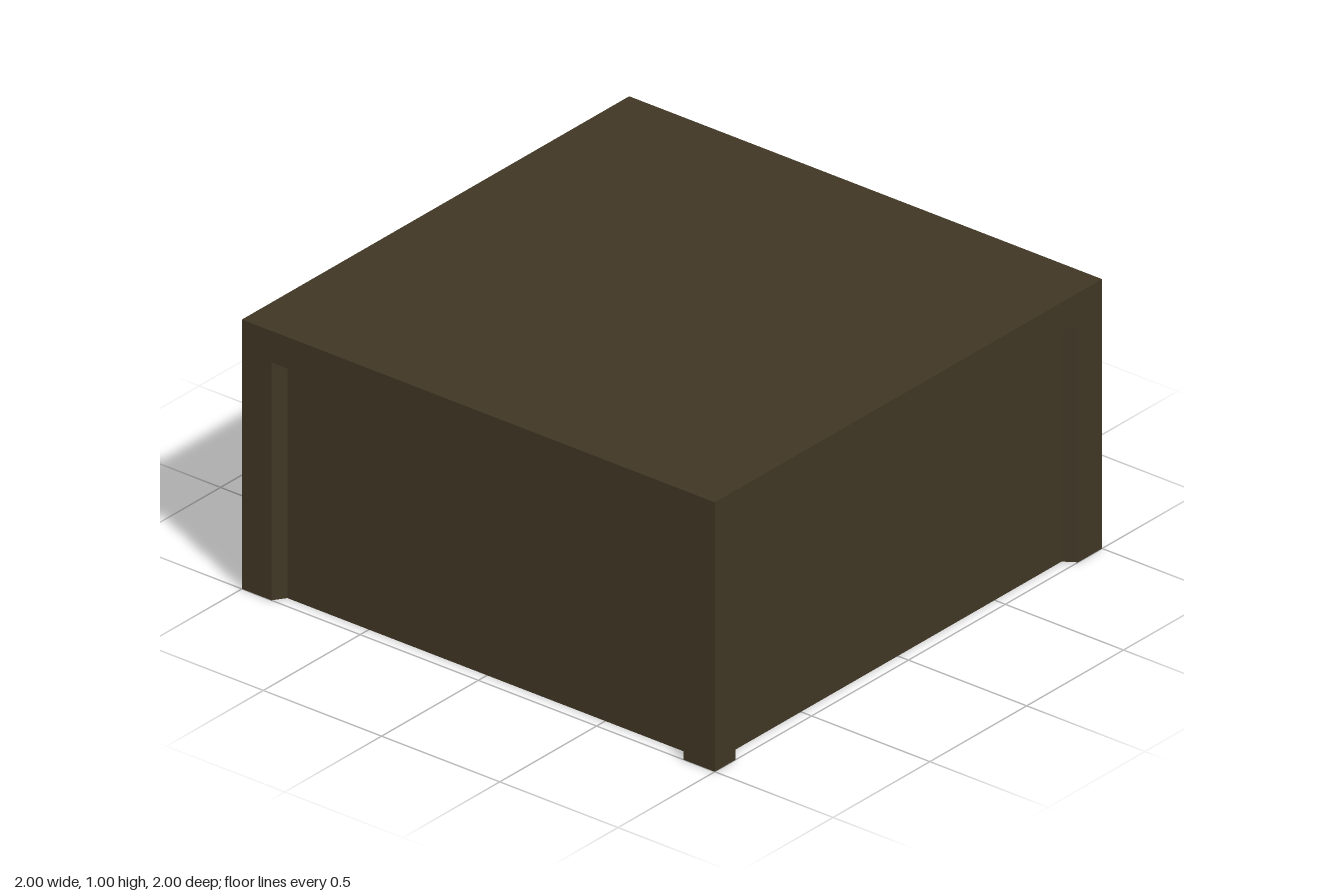
import * as THREE from 'three';

const DEPTH = 0.045; // how far each panel is sunk
const BEVEL = 0.03;  // width of the sloped reveal

// Opening in each side, measured in that side's own plane, with its turn about y
const SIDES = [
  { name: 'front', turn: 0, left: -0.875, right: 0.868, top: 0.883 },
  { name: 'left', turn: Math.PI / 2, left: -0.893, right: 0.876, top: 0.883 },
  { name: 'back', turn: Math.PI, left: -0.893, right: 0.89, top: 0.913 },
  { name: 'right', turn: -Math.PI / 2, left: -0.895, right: 0.872, top: 0.883 },
];

// Arch outline: up the left, across the top, down the right
const arch = (l, r, t, z) => [[l, 0, z], [l, t, z], [r, t, z], [r, 0, z]];

// Flat faces from lists of four corners
function quads(list) {
  const points = list.flatMap(([a, b, c, d]) => [a, b, c, a, c, d]).flat();
  const geometry = new THREE.BufferGeometry();
  geometry.setAttribute('position', new THREE.Float32BufferAttribute(points, 3));
  geometry.computeVertexNormals();
  return geometry;
}

// Three mitred faces joining an outer arch to an inner one
const band = (outer, inner) =>
  quads([0, 1, 2].map((i) => [outer[i], inner[i], inner[i + 1], outer[i + 1]]));

export function createModel() {
  const group = new THREE.Group();
  const material = new THREE.MeshStandardMaterial({ color: 0x3f3624 });
  material.name = 'darkBrown';

  const add = (parent, name, geometry) => {
    const mesh = new THREE.Mesh(geometry, material);
    mesh.name = name;
    parent.add(mesh);
    return mesh;
  };

  const footprint = [];
  for (const { name, turn, left, right, top } of SIDES) {
    const side = new THREE.Group();
    side.name = name + 'Side';
    side.rotation.y = turn;
    group.add(side);

    const edge = arch(-1, 1, 1, 1);
    const opening = arch(left, right, top, 1);
    const sunk = arch(left + BEVEL, right - BEVEL, top - BEVEL, 1 - DEPTH);

    // Frame, sloped reveal and sunken panel
    add(side, name + 'Frame', band(edge, opening));
    add(side, name + 'Reveal', band(opening, sunk));
    add(side, name + 'Panel', quads([[sunk[0], sunk[3], sunk[2], sunk[1]]]));

    // Outline of the underside along this side
    for (const p of [edge[0], opening[0], sunk[0], sunk[3], opening[3]]) {
      const v = new THREE.Vector3(...p).applyAxisAngle(new THREE.Vector3(0, 1, 0), turn);
      footprint.push(new THREE.Vector2(v.x, v.z));
    }
  }

  // Flat top
  const topFace = add(group, 'top', new THREE.PlaneGeometry(2, 2).rotateX(-Math.PI / 2));
  topFace.position.y = 1;

  // Underside, notched where the panels are sunk
  add(group, 'underside', new THREE.ShapeGeometry(new THREE.Shape(footprint)).rotateX(Math.PI / 2));

  return group;
}
